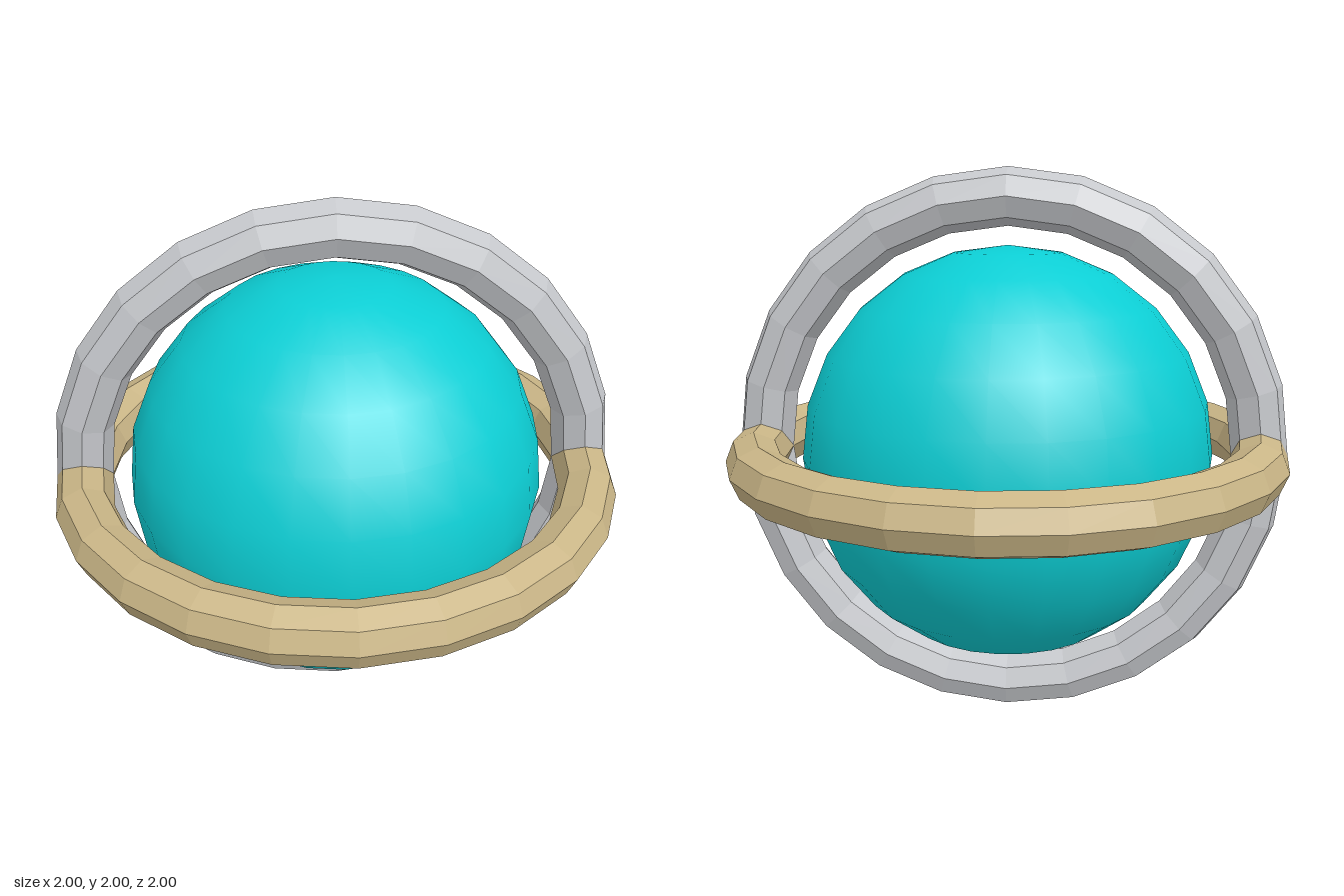
import * as THREE from 'three';

const material = (name, color, flatShading = false) => {
  const m = new THREE.MeshStandardMaterial({ color, flatShading });
  m.name = name;
  return m;
};

export function createModel() {
  const group = new THREE.Group();
  group.name = 'ringedSphere';

  const add = (name, geometry, mat) => {
    const mesh = new THREE.Mesh(geometry, mat);
    mesh.name = name;
    mesh.position.y = 1;
    group.add(mesh);
    return mesh;
  };

  // Smooth core
  add('core', new THREE.SphereGeometry(0.735, 24, 12), material('turquoise', 0x0cced4));

  // Two faceted rings crossing at right angles on the x axis
  const ring = () => new THREE.TorusGeometry(0.9, 0.1, 8, 24);
  add('verticalRing', ring(), material('silver', 0xc6c8cc, true));
  add('horizontalRing', ring(), material('pale gold', 0xcab687, true)).rotation.x = Math.PI / 2;

  return group;
}
